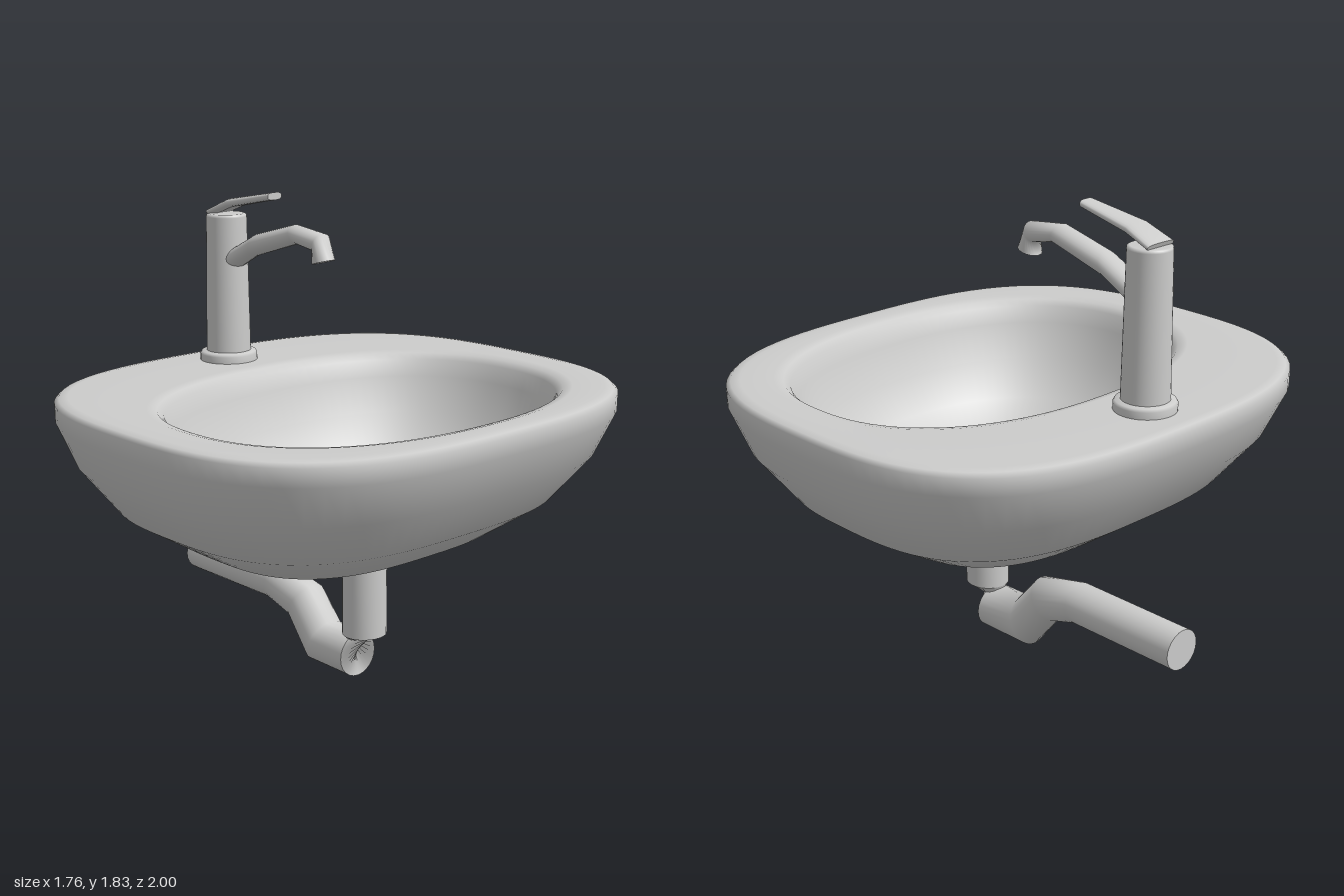
import * as THREE from 'three';

const ceramic = new THREE.MeshStandardMaterial({ color: 0xcccccb, side: THREE.DoubleSide });
ceramic.name = 'light grey ceramic';

const V = (x, y, z = 0) => new THREE.Vector3(x, y, z);

// Skin over a list of rings; each ring has centre c, half axes u and w, and roundness n (2 = ellipse).
function loft(name, rings, { sides = 24, capStart = false, capEnd = false } = {}) {
  const pos = [], index = [];
  const ringPoint = ({ c, u, w, n = 2 }, j) => {
    const t = (j / sides) * Math.PI * 2, a = Math.cos(t), b = Math.sin(t);
    const r = (Math.abs(a) ** n + Math.abs(b) ** n) ** (-1 / n);
    return c.clone().addScaledVector(u, a * r).addScaledVector(w, b * r);
  };
  const addRing = (ring) => {
    const start = pos.length / 3;
    for (let j = 0; j < sides; j++) pos.push(...ringPoint(ring, j).toArray());
    return start;
  };
  rings.forEach((ring, i) => {
    const s = addRing(ring);
    if (i === 0) return;
    for (let j = 0; j < sides; j++) {
      const k = (j + 1) % sides, p = s - sides;
      index.push(p + j, p + k, s + j, p + k, s + k, s + j);
    }
  });
  // Caps have their own vertices so their edges stay sharp
  const cap = (ring, flip) => {
    const s = addRing(ring), m = pos.length / 3;
    pos.push(...ring.c.toArray());
    for (let j = 0; j < sides; j++) {
      const k = (j + 1) % sides;
      index.push(m, s + (flip ? k : j), s + (flip ? j : k));
    }
  };
  if (capStart) cap(rings[0], true);
  if (capEnd) cap(rings[rings.length - 1], false);
  const geo = new THREE.BufferGeometry();
  geo.setAttribute('position', new THREE.Float32BufferAttribute(pos, 3));
  geo.setIndex(index);
  geo.computeVertexNormals();
  const mesh = new THREE.Mesh(geo, ceramic);
  mesh.name = name;
  return mesh;
}

// Ring of a tube lying in the x-y plane: upper point, lower point, half width in z
const section = ([ux, uy, lx, ly, w, n = 2]) => ({
  c: V((ux + lx) / 2, (uy + ly) / 2),
  u: V((ux - lx) / 2, (uy - ly) / 2),
  w: V(0, 0, w), n,
});

// Horizontal ring: height, half size in x, half size in z, centre x, roundness
const level = (y, rx, rz, x, n) => ({ c: V(x, y), u: V(rx, 0), w: V(0, 0, -rz), n });

function lathe(name, points, x, y) {
  const geo = new THREE.LatheGeometry(points.map(([r, h]) => new THREE.Vector2(r, h)), 40);
  const mesh = new THREE.Mesh(geo, ceramic);
  mesh.name = name;
  mesh.position.set(x, y, 0);
  return mesh;
}

export function createModel() {
  const model = new THREE.Group();
  model.name = 'washbasin';

  // Basin: outer shell upwards, over the rim, then down into the bowl
  const outer = [
    [0.515, 0.28, 0.34], [0.585, 0.48, 0.6], [0.715, 0.665, 0.81], [0.89, 0.805, 0.94],
    [1.05, 0.877, 1.0], [1.115, 0.878, 1.0], [1.13, 0.862, 0.985], [1.135, 0.83, 0.955],
  ].map(([y, rx, rz]) => level(y, rx, rz, 0, 2.9));
  const inner = [
    [1.135, 0.63, 0.84], [1.127, 0.595, 0.805], [1.105, 0.575, 0.78], [1.04, 0.555, 0.755],
    [0.9, 0.515, 0.7], [0.76, 0.435, 0.59], [0.66, 0.31, 0.42], [0.615, 0.19, 0.25], [0.6, 0.1, 0.1],
  ].map(([y, rx, rz]) => level(y, rx, rz, 0.14, 2.3));
  model.add(loft('basin', [...outer, ...inner], { sides: 96, capStart: true, capEnd: true }));

  // Drain plug
  model.add(lathe('drain', [
    [0.125, -0.01], [0.123, 0.012], [0.112, 0.02], [0.095, 0.019], [0.075, 0.01], [0, 0.006],
  ], 0.14, 0.6));

  // Tap
  const tap = new THREE.Group();
  tap.name = 'tap';
  tap.add(lathe('tapBase', [
    [0.114, 0], [0.114, 0.028], [0.108, 0.038], [0.085, 0.042],
  ], -0.66, 1.133));
  tap.add(lathe('tapBody', [
    [0.089, 0.02], [0.08, 0.575], [0.079, 0.583], [0.07, 0.587], [0, 0.587],
  ], -0.66, 1.133));
  tap.add(loft('spout', [
    [-0.64, 1.57, -0.64, 1.485, 0.056],
    [-0.46, 1.66, -0.48, 1.57, 0.052],
    [-0.25, 1.715, -0.225, 1.645, 0.047],
    [-0.092, 1.697, -0.117, 1.625, 0.045],
    [-0.047, 1.603, -0.135, 1.578, 0.045],
  ].map(section), { capEnd: true }));
  tap.add(loft('lever', [
    [-0.71, 1.737, -0.7, 1.715, 0.066, 3],
    [-0.6, 1.785, -0.59, 1.752, 0.056, 3],
    [-0.365, 1.826, -0.365, 1.797, 0.034, 3],
  ].map(section), { capStart: true, capEnd: true }));
  model.add(tap);

  // Waste pipe with a twisted joint at the bottom of the trap
  const trapEnd = section([0.1, 0.175, 0.105, 0, 0.09]);
  const downEnd = section([0.225, 0.19, 0.055, 0.185, -0.086]);
  const pipe = new THREE.Group();
  pipe.name = 'wastePipe';
  pipe.add(loft('outletPipe', [
    ...[
      [-0.868, 0.346, -0.868, 0.19, 0.08],
      [-0.355, 0.346, -0.375, 0.19, 0.081],
      [-0.155, 0.3, -0.25, 0.152, 0.085],
      [-0.05, 0.178, -0.13, 0.002, 0.09],
    ].map(section), trapEnd,
  ], { capStart: true }));
  pipe.add(loft('twistedJoint', [trapEnd, downEnd]));
  pipe.add(loft('downPipe', [downEnd, section([0.225, 0.54, 0.055, 0.54, -0.086])]));
  model.add(pipe);

  return model;
}
